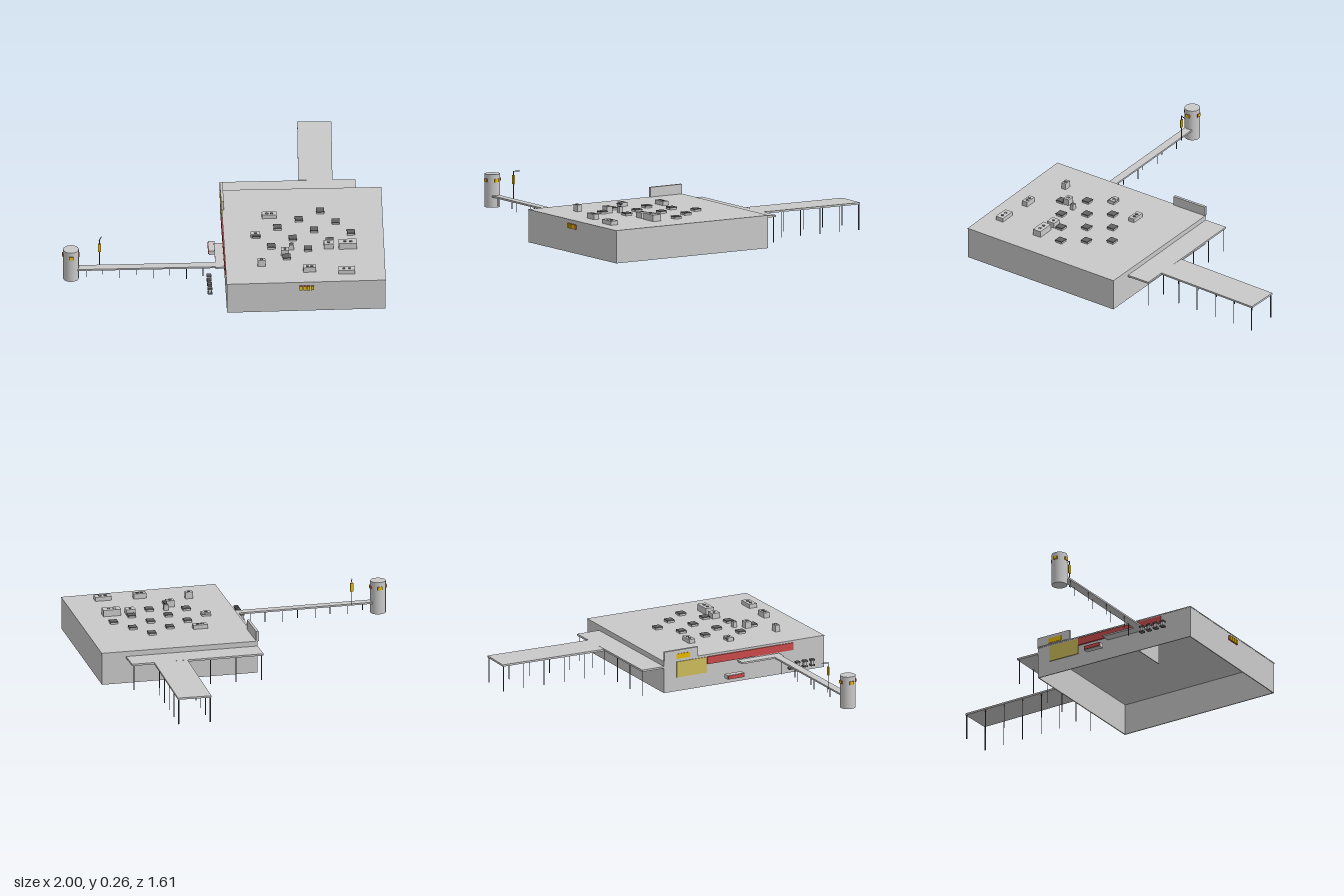
import * as THREE from 'three';

const mat = (name, color) => {
  const m = new THREE.MeshStandardMaterial({ color });
  m.name = name;
  return m;
};

export function createModel() {
  const grey = mat('light grey', 0xc9c9ca);
  const dark = mat('dark grey', 0x626262);
  const post = mat('post grey', 0x5c5c62);
  const red = mat('red', 0xcc4a4a);
  const yellow = mat('yellow', 0xe8bc00);
  const olive = mat('olive', 0xcfbe5c);

  const model = new THREE.Group();
  model.name = 'storeComplex';

  // Everything sits in a turned frame: x across the hall, z along it (-z is the rear)
  const site = new THREE.Group();
  site.name = 'site';
  site.position.set(0.158, 0, 0.183);
  site.rotation.y = THREE.MathUtils.degToRad(-34.3);
  model.add(site);

  // Box given by its ranges
  const box = (name, m, x0, x1, y0, y1, z0, z1, parent = site) => {
    const b = new THREE.Mesh(new THREE.BoxGeometry(x1 - x0, y1 - y0, z1 - z0), m);
    b.position.set((x0 + x1) / 2, (y0 + y1) / 2, (z0 + z1) / 2);
    b.name = name;
    parent.add(b);
    return b;
  };
  const rod = (name, m, x, z, y0, y1, r, parent = site, sides = 8) => {
    const c = new THREE.Mesh(new THREE.CylinderGeometry(r, r, y1 - y0, sides), m);
    c.position.set(x, (y0 + y1) / 2, z);
    c.name = name;
    parent.add(c);
    return c;
  };
  // World x, z to site x, z
  const toSite = (x, z) => {
    const a = THREE.MathUtils.degToRad(34.3), c = Math.cos(a), s = Math.sin(a);
    const dx = x - 0.158, dz = z - 0.183;
    return [dx * c + dz * s, -dx * s + dz * c];
  };

  // Hall: slightly skewed outline, walls open below, and a roof
  const W = 0.415, L = 0.475, H = 0.175, T = 0.005;
  const outline = [[-0.421, -0.479], [0.412, -0.469], [0.427, 0.472], [-0.415, 0.475]];
  const quad = (scale) => outline.map(([x, y]) => new THREE.Vector2(x * scale, y * scale));
  const slab = (name, shape, y0, y1) => {
    const g = new THREE.ExtrudeGeometry(shape, { depth: y1 - y0, bevelEnabled: false });
    g.rotateX(-Math.PI / 2);
    const m = new THREE.Mesh(g, grey);
    m.position.y = y0;
    m.name = name;
    site.add(m);
  };
  const wallShape = new THREE.Shape(quad(1));
  wallShape.holes.push(new THREE.Path(quad(0.988)));
  slab('walls', wallShape, 0, H - T);
  slab('roof', new THREE.Shape(quad(1.004)), H - T, H);
  box('innerPartition', grey, -W + T, -0.22, 0, H - T, 0.15, 0.155);

  // Painted panels on the entrance side
  box('redBand', red, -0.425, -0.416, 0.123, 0.163, -0.22, 0.295);
  box('olivePanel', olive, -0.421, -0.413, 0.076, 0.162, -0.4, -0.22);
  box('roofSignBoard', grey, -0.421, -0.407, H, 0.227, -0.475, -0.275);
  box('roofSignPlate', yellow, -0.424, -0.421, 0.18, 0.207, -0.405, -0.325);

  // Raised plates on the front wall: red sides, yellow faces
  for (let i = 0; i < 4; i++) {
    const x = -0.04 + i * 0.02;
    box('frontSignBlock', red, x, x + 0.016, 0.13, 0.154, 0.474, 0.483);
    box('frontSignFace', yellow, x, x + 0.016, 0.13, 0.154, 0.483, 0.4845);
  }

  // Skylights
  for (const x of [-0.05, 0.09, 0.23, 0.37]) {
    for (const z of [0.045, 0.18, 0.315]) {
      const [u, v] = toSite(x, z);
      box('skylightCurb', grey, u - 0.02, u + 0.02, H, 0.183, v - 0.02, v + 0.02);
      box('skylight', dark, u - 0.021, u + 0.021, 0.183, 0.189, v - 0.021, v + 0.021);
    }
  }

  // Roof units: x, z, length, width, top, fans
  const units = [
    [0.125, -0.075, 0.077, 0.035, 0.197, 2], [-0.05, 0.04, 0.05, 0.032, 0.195, 1],
    [-0.2, 0.295, 0.04, 0.026, 0.211, 1], [-0.035, 0.28, 0.042, 0.034, 0.21, 1],
    [0.025, 0.255, 0.025, 0.022, 0.206, 1], [0.195, 0.355, 0.05, 0.045, 0.204, 1],
    [0.275, 0.415, 0.095, 0.048, 0.21, 2], [-0.03, 0.49, 0.067, 0.032, 0.203, 2],
    [0.12, 0.615, 0.087, 0.045, 0.197, 2],
  ];
  for (const [x, z, l, w, top, fans] of units) {
    const [u, v] = toSite(x, z);
    box('roofUnit', grey, u - l / 2, u + l / 2, H, top, v - w / 2, v + w / 2);
    for (let i = 0; i < fans; i++) {
      const step = l / (fans + 1);
      rod('roofUnitFan', dark, u - l / 2 + step * (i + 1), v, top, top + 0.002, 0.009, site, 12);
    }
  }

  // Rear canopy with its posts
  box('rearCanopy', grey, -W, 0.297, 0.137, 0.147, -0.605, -L);
  for (let i = 0; i < 6; i++) rod('canopyPost', post, -W + 0.01 + i * 0.138, -0.597, 0, 0.137, 0.002);

  // Covered walk leading away from the canopy
  const walk = new THREE.Group();
  walk.name = 'coveredWalk';
  walk.position.set(0.087, 0, -0.605);
  walk.rotation.y = -0.032;
  site.add(walk);
  box('walkRoof', grey, -0.09, 0.09, 0.137, 0.147, -0.596, 0, walk);
  for (let i = 0; i < 5; i++) {
    for (const s of [-1, 1]) {
      rod('walkPost', post, s * 0.085, -0.59 + i * 0.119, 0, 0.137, i ? 0.002 : 0.0035, walk);
    }
  }

  // Raised footbridge and its landing on the entrance side
  box('landing', grey, -0.47, -0.42, 0.108, 0.117, -0.037, 0.21);
  box('footbridge', grey, -1.2, -0.47, 0.108, 0.117, 0.158, 0.203);
  for (let i = 0; i < 8; i++) {
    rod('bridgePost', post, -1.15 + i * 0.088, i % 2 ? 0.165 : 0.196, 0.066 - i * 0.004, 0.108, 0.002);
  }

  // Round tower at the end of the footbridge, with plates on its sides
  const [tx, tz] = toSite(-0.959, -0.361);
  const tower = new THREE.Group();
  tower.name = 'tower';
  tower.position.set(tx, 0, tz);
  site.add(tower);
  rod('towerBody', grey, 0, 0, 0.053, 0.229, 0.041, tower, 32);
  for (let i = 0; i < 4; i++) {
    const holder = new THREE.Group();
    holder.name = 'towerSign';
    holder.rotation.y = (i * Math.PI) / 2;
    tower.add(holder);
    box('towerSignBlock', red, -0.012, 0.012, 0.188, 0.205, 0.037, 0.044, holder);
    box('towerSignFace', yellow, -0.012, 0.012, 0.188, 0.205, 0.044, 0.0455, holder);
  }

  // Lamp pole with a banner
  const [px, pz] = toSite(-0.815, -0.305);
  rod('lampPole', post, px, pz, 0.112, 0.26, 0.0025);
  const arm = box('lampArm', post, -0.019, 0.019, 0.257, 0.26, -0.0015, 0.0015);
  arm.position.x = px + 0.005;
  arm.position.z = pz - 0.016;
  arm.rotation.y = 1.2;
  box('banner', yellow, px - 0.008, px + 0.008, 0.19, 0.237, pz - 0.004, pz + 0.004);

  // Small kiosk roof beside the entrance
  box('kiosk', grey, -0.495, -0.463, 0.045, 0.068, -0.138, -0.038);
  box('kioskFascia', red, -0.499, -0.495, 0.047, 0.066, -0.135, -0.041);

  // Row of small two-tier trolleys
  for (let i = 0; i < 4; i++) {
    const z = 0.232 + i * 0.043;
    box('trolleyTop', dark, -0.518, -0.494, 0.078, 0.086, z - 0.012, z + 0.012);
    box('trolleyBody', grey, -0.514, -0.498, 0.058, 0.078, z - 0.008, z + 0.008);
    box('trolleyBase', dark, -0.518, -0.494, 0.05, 0.058, z - 0.012, z + 0.012);
  }

  return model;
}
